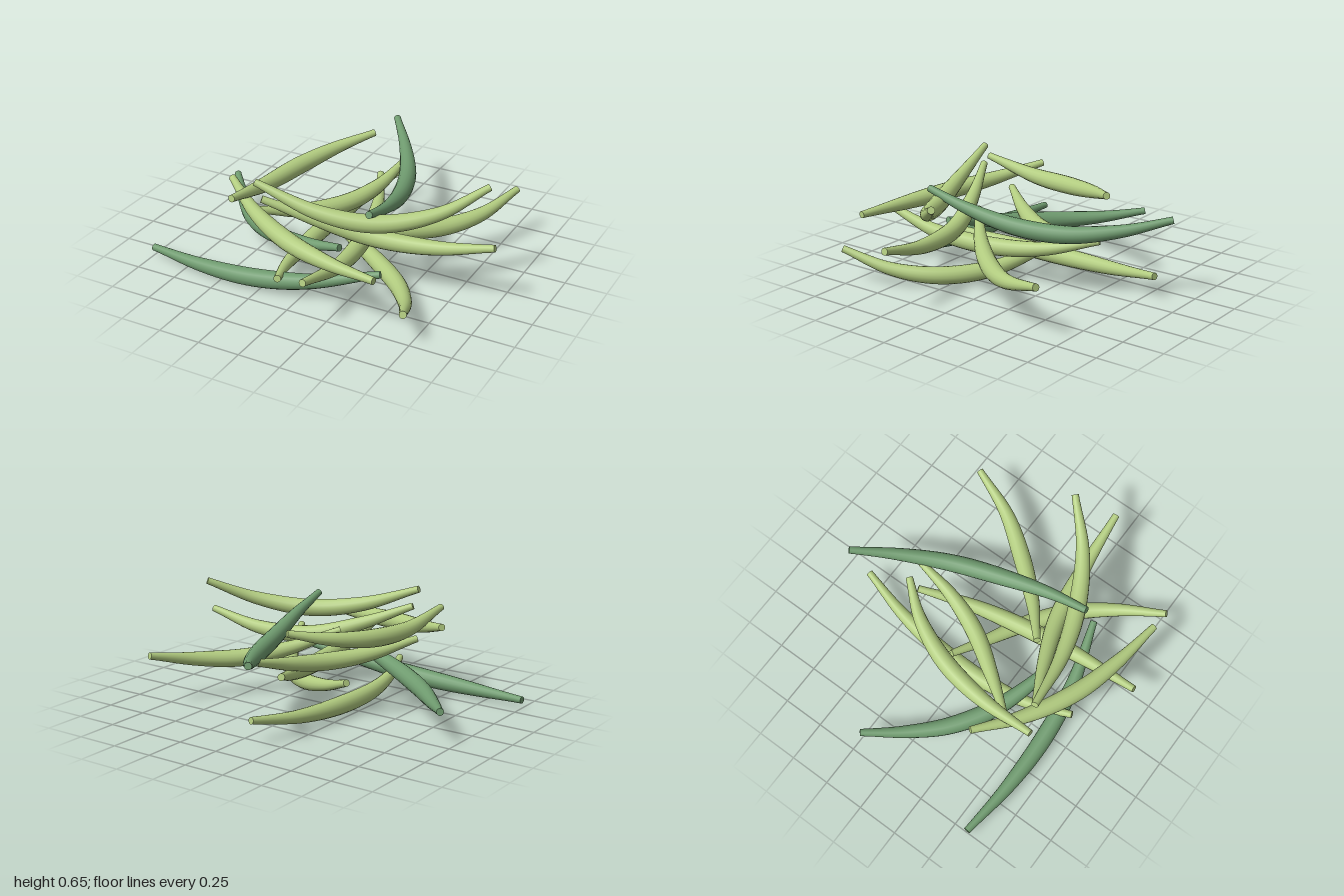
import * as THREE from 'three';
import { mergeGeometries } from 'three/addons/utils/BufferGeometryUtils.js';

const RINGS = 40, SIDES = 16, TIP = 0.021, BELLY = 0.053;

// Tapered pod: a tube swept along the path, swollen in the middle, with flat cut ends
function podGeometry(points) {
  const curve = new THREE.CatmullRomCurve3(points.map(p => new THREE.Vector3(...p)), false, 'centripetal');
  const tube = new THREE.TubeGeometry(curve, RINGS, 1, SIDES, false);
  const pos = tube.attributes.position;
  const v = new THREE.Vector3();
  for (let i = 0; i <= RINGS; i++) {
    const t = i / RINGS;
    const centre = curve.getPointAt(t);
    const radius = TIP + (BELLY - TIP) * Math.pow(Math.sin(Math.PI * t), 1.3);
    for (let j = 0; j <= SIDES; j++) {
      const k = i * (SIDES + 1) + j;
      v.fromBufferAttribute(pos, k).sub(centre).multiplyScalar(radius).add(centre);
      pos.setXYZ(k, v.x, v.y, v.z);
    }
  }
  tube.computeVertexNormals();
  // Match normals along the seam
  const nor = tube.attributes.normal, w = new THREE.Vector3();
  for (let i = 0; i <= RINGS; i++) {
    const a = i * (SIDES + 1), b = a + SIDES;
    v.fromBufferAttribute(nor, a).add(w.fromBufferAttribute(nor, b)).normalize();
    nor.setXYZ(a, v.x, v.y, v.z);
    nor.setXYZ(b, v.x, v.y, v.z);
  }
  // End caps
  const caps = [0, 1].map(t => {
    const out = curve.getTangentAt(t).multiplyScalar(t ? 1 : -1);
    const cap = new THREE.CircleGeometry(TIP, SIDES);
    cap.applyQuaternion(new THREE.Quaternion().setFromUnitVectors(new THREE.Vector3(0, 0, 1), out));
    const c = curve.getPointAt(t);
    return cap.translate(c.x, c.y, c.z);
  });
  return mergeGeometries([tube, ...caps]);
}

// Centre lines of the dark pods
const darkPods = [
  [[-0.15, 0.485, -0.9], [0.02, 0.42, -0.67], [0.17, 0.385, -0.4], [0.27, 0.405, -0.1], [0.33, 0.475, 0.2], [0.345, 0.545, 0.44]],
  [[-0.93, 0.20, -0.235], [-0.76, 0.165, -0.03], [-0.58, 0.16, 0.15], [-0.35, 0.185, 0.30], [-0.08, 0.24, 0.40], [0.17, 0.30, 0.45]],
  [[-1.0, 0.06, 0.585], [-0.65, 0.055, 0.62], [-0.3, 0.068, 0.62], [0.05, 0.115, 0.575], [0.43, 0.205, 0.46]],
];

// Centre lines of the light pods
const lightPods = [
  [[0.78, 0.32, -0.64], [0.67, 0.255, -0.36], [0.5, 0.235, -0.12], [0.3, 0.28, 0.1], [0.08, 0.38, 0.29]],
  [[-0.23, 0.20, -0.1], [-0.02, 0.125, 0.0], [0.22, 0.075, 0.12], [0.45, 0.07, 0.3], [0.61, 0.11, 0.52], [0.725, 0.21, 0.78]],
  [[0.995, 0.395, 0.21], [0.65, 0.32, 0.235], [0.3, 0.32, 0.29], [0, 0.41, 0.4], [-0.28, 0.53, 0.53]],
  [[0.86, 0.635, -0.01], [0.65, 0.515, 0.2], [0.36, 0.46, 0.37], [0.05, 0.505, 0.48], [-0.31, 0.635, 0.545]],
  [[-0.605, 0.495, 0.32], [-0.35, 0.425, 0.5], [-0.05, 0.385, 0.65], [0.25, 0.37, 0.735], [0.555, 0.37, 0.785]],
  [[0.07, 0.38, -0.55], [0.03, 0.32, -0.3], [-0.06, 0.29, -0.06], [-0.22, 0.31, 0.18], [-0.39, 0.375, 0.4]],
  [[-0.1, 0.15, -0.82], [-0.18, 0.10, -0.5], [-0.22, 0.078, -0.15], [-0.215, 0.078, 0.2], [-0.17, 0.105, 0.47], [-0.1, 0.145, 0.68]],
  [[-0.1, 0.56, -0.49], [-0.25, 0.51, -0.3], [-0.36, 0.475, -0.05], [-0.415, 0.47, 0.25], [-0.43, 0.53, 0.605]],
  [[-0.05, 0.30, -0.48], [0.07, 0.23, -0.2], [0.15, 0.2, 0.12], [0.195, 0.22, 0.5], [0.19, 0.315, 0.9]],
];

export function createModel() {
  const group = new THREE.Group();
  group.name = 'podPile';
  const addPods = (paths, name, color) => {
    const material = new THREE.MeshStandardMaterial({ color });
    paths.forEach((path, i) => {
      const pod = new THREE.Mesh(podGeometry(path), material);
      pod.name = name + (i + 1);
      group.add(pod);
    });
  };
  addPods(darkPods, 'darkPod', 0x6f9b6f);
  addPods(lightPods, 'lightPod', 0xb2cc80);
  return group;
}
